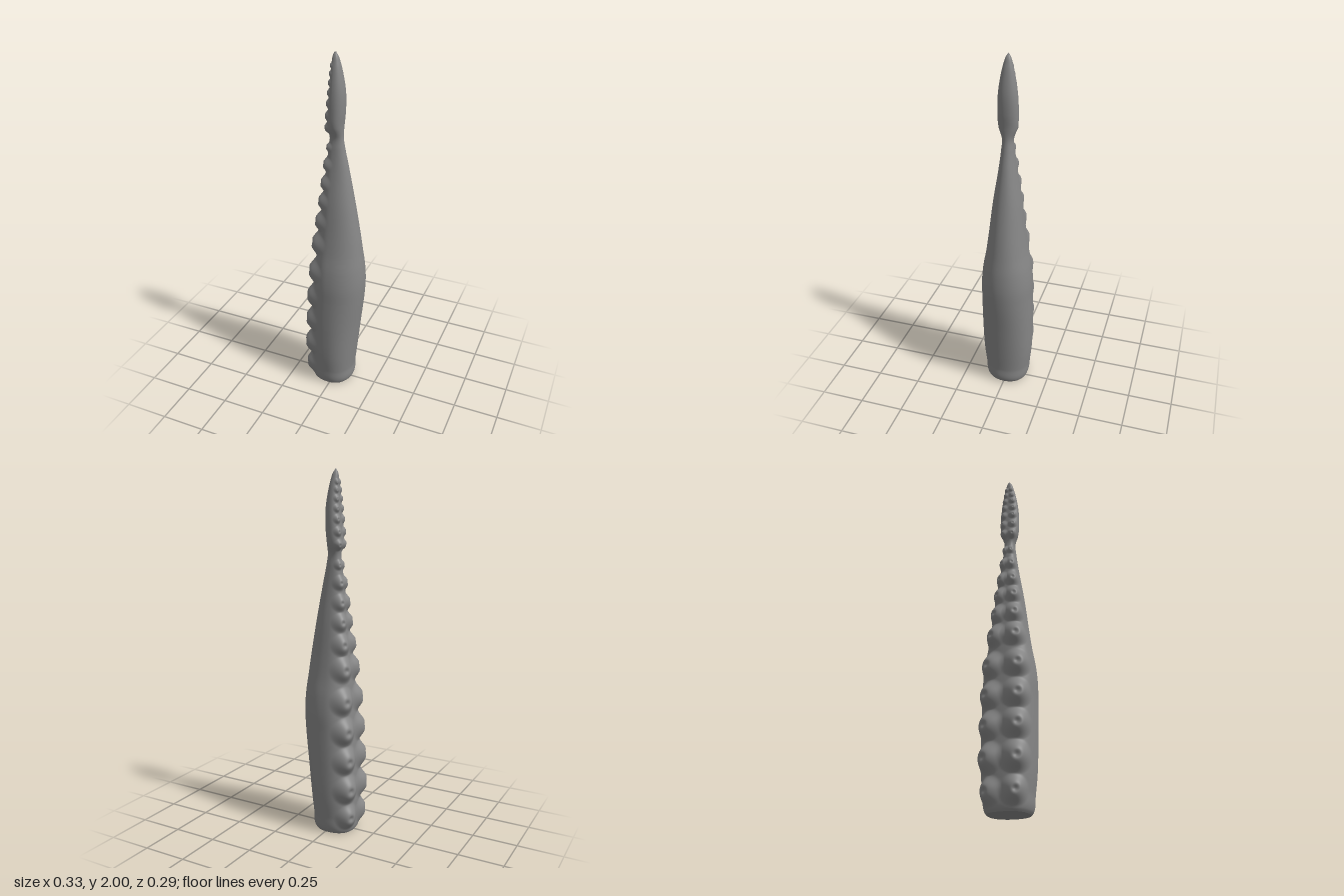
import * as THREE from 'three';

// Body profile rows: height, extent to +x, extent to -x, half width in z
const PROFILE = [
  [0, 0.094, 0.126, 0.109], [0.015, 0.106, 0.133, 0.119], [0.1, 0.112, 0.136, 0.13],
  [0.2, 0.122, 0.138, 0.14], [0.4, 0.142, 0.131, 0.145], [0.6, 0.163, 0.121, 0.144],
  [0.7, 0.168, 0.114, 0.143], [0.8, 0.163, 0.107, 0.133], [0.9, 0.15, 0.1, 0.115],
  [1.0, 0.136, 0.091, 0.101], [1.2, 0.103, 0.069, 0.077], [1.4, 0.067, 0.051, 0.046],
  [1.5, 0.047, 0.04, 0.034], [1.56, 0.038, 0.034, 0.03], [1.62, 0.039, 0.045, 0.049],
  [1.7, 0.046, 0.039, 0.054], [1.8, 0.046, 0.031, 0.05], [1.9, 0.031, 0.025, 0.035],
  [1.95, 0.019, 0.022, 0.023], [1.985, 0.006, 0.017, 0.011], [2, -0.007, 0.009, 0.001],
];

// Sucker pairs: height, radius
const SUCKERS = [
  [0.1, 0.07], [0.265, 0.08], [0.435, 0.078], [0.6, 0.077], [0.77, 0.075], [0.945, 0.07],
  [1.08, 0.059], [1.2, 0.051], [1.305, 0.046], [1.41, 0.04], [1.505, 0.027], [1.61, 0.03],
  [1.68, 0.027], [1.745, 0.025], [1.8, 0.022], [1.85, 0.02], [1.895, 0.018], [1.935, 0.015],
];

const ROWS = 460, SIDES = 120;
const ROW_ANGLE = 0.46; // how far each sucker row is turned away from -x

const profile = new THREE.CubicInterpolant(
  PROFILE.map((p) => p[0]), PROFILE.flatMap((p) => p.slice(1)), 3);

// Point on the smooth body: round on +x, flatter on -x
function bodyPoint(y, angle) {
  const [right, left, half] = profile.evaluate(y);
  const c = Math.cos(angle), s = Math.sin(angle);
  const power = c < 0 ? 0.8 : 0.94;
  const centre = (right - left) * 0.15;
  const reach = c < 0 ? left + centre : right - centre;
  return new THREE.Vector3(
    centre + Math.sign(c) * reach * Math.abs(c) ** power,
    y,
    Math.sign(s) * half * Math.abs(s) ** power);
}

// Mirrored sucker rows
const suckers = SUCKERS.flatMap(([y, r]) => [-1, 1].map((side) => ({
  r,
  centre: bodyPoint(y, Math.PI - side * ROW_ANGLE),
  out: new THREE.Vector3(-Math.cos(0.5), 0, side * Math.sin(0.5)),
})));

// Raised dome with a small dimple
function suckerHeight(q) {
  return 1 - THREE.MathUtils.smoothstep(q, 0.25, 1.2) - 0.22 * Math.exp(-((q / 0.2) ** 2));
}

function surfacePoint(y, angle) {
  const p = bodyPoint(y, angle);
  let best = 0, out = null;
  for (const s of suckers) {
    const q = p.distanceTo(s.centre) / s.r;
    if (q > 1.2) continue;
    const h = 0.48 * s.r * suckerHeight(q);
    if (h > best) { best = h; out = s.out; }
  }
  return out ? p.addScaledVector(out, best) : p;
}

function makeGeometry(positions, index) {
  const g = new THREE.BufferGeometry();
  g.setAttribute('position', new THREE.Float32BufferAttribute(positions, 3));
  g.setIndex(index);
  g.computeVertexNormals();
  return g;
}

export function createModel() {
  const group = new THREE.Group();
  group.name = 'tentacle';
  const material = new THREE.MeshStandardMaterial({ color: 0x868686 });

  // Rings of points, closer together on the sucker side and near the tip
  const positions = [], index = [];
  for (let i = 0; i <= ROWS; i++) {
    const t = i / ROWS;
    const y = 2 * (t + 0.25 * t * (1 - t));
    for (let j = 0; j < SIDES; j++) {
      const u = (j / SIDES) * Math.PI * 2;
      positions.push(...surfacePoint(y, u + 0.4 * Math.sin(u)).toArray());
      if (i === ROWS) continue;
      const a = i * SIDES + j, b = i * SIDES + (j + 1) % SIDES;
      index.push(a, a + SIDES, b, b, a + SIDES, b + SIDES);
    }
  }
  // Close the tip
  const tip = positions.length / 3;
  positions.push(-0.008, 2, 0);
  for (let j = 0; j < SIDES; j++) {
    index.push(ROWS * SIDES + j, tip, ROWS * SIDES + (j + 1) % SIDES);
  }
  const body = new THREE.Mesh(makeGeometry(positions, index), material);
  body.name = 'tentacleWithSuckers';
  group.add(body);

  // Flat underside
  const rim = positions.slice(0, SIDES * 3), fan = [];
  rim.push(0, 0, 0);
  for (let j = 0; j < SIDES; j++) fan.push(SIDES, j, (j + 1) % SIDES);
  const base = new THREE.Mesh(makeGeometry(rim, fan), material);
  base.name = 'baseCap';
  group.add(base);

  return group;
}
